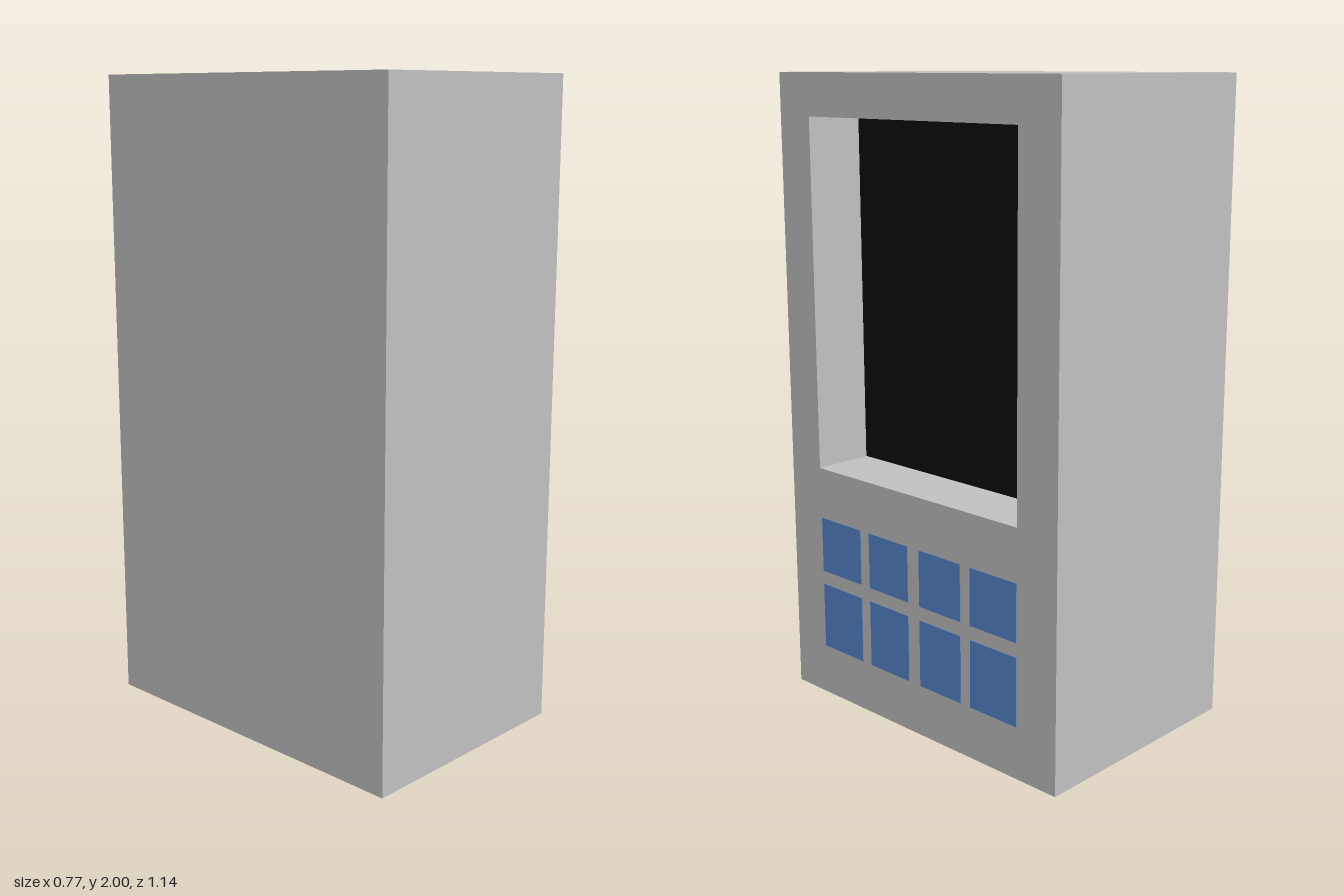
import * as THREE from 'three';

const HALF_X = 0.385, HALF_Z = 0.57, HEIGHT = 2, DEPTH = 0.2;

function material(name, color) {
  const m = new THREE.MeshStandardMaterial({ color });
  m.name = name;
  return m;
}

function addMesh(parent, name, geometry, mat) {
  const mesh = new THREE.Mesh(geometry, mat);
  mesh.name = name;
  parent.add(mesh);
  return mesh;
}

// Box given by its lower and upper corners
function boxBetween(a, b) {
  const g = new THREE.BoxGeometry(b[0] - a[0], b[1] - a[1], b[2] - a[2]);
  return g.translate((a[0] + b[0]) / 2, (a[1] + b[1]) / 2, (a[2] + b[2]) / 2);
}

function rectangle(path, x0, y0, x1, y1) {
  return path.moveTo(x0, y0).lineTo(x1, y0).lineTo(x1, y1).lineTo(x0, y1).closePath();
}

export function createModel() {
  const model = new THREE.Group();
  model.name = 'kiosk';
  const grey = material('casing grey', 0xc0c0c0);
  const black = material('screen black', 0x0d0d0d);
  const blue = material('button blue', 0x5585cc);
  const recessX = HALF_X - DEPTH;
  const opening = { z0: -0.42, z1: 0.435, y0: 0.77, y1: 1.87 };

  // Solid casing behind the screen
  addMesh(model, 'casing', boxBetween([-HALF_X, 0, -HALF_Z], [recessX, HEIGHT, HALF_Z]), grey);

  // Faceplate with the deep screen opening, turned to face the left side
  const plate = rectangle(new THREE.Shape(), -HALF_Z, 0, HALF_Z, HEIGHT);
  plate.holes.push(rectangle(new THREE.Path(), -opening.z1, opening.y0, -opening.z0, opening.y1));
  const plateGeometry = new THREE.ExtrudeGeometry(plate, { depth: DEPTH, bevelEnabled: false });
  plateGeometry.rotateY(Math.PI / 2).translate(recessX, 0, 0);
  addMesh(model, 'faceplate', plateGeometry, grey);

  // Screen on the floor of the recess
  addMesh(model, 'screen', boxBetween(
    [recessX, opening.y0, opening.z0], [recessX + 0.004, opening.y1, opening.z1]), black);

  // Two rows of four flat buttons
  const buttons = new THREE.Group();
  buttons.name = 'buttons';
  model.add(buttons);
  const rows = [[0.165, 0.38], [0.425, 0.605]];
  const columns = [[0.245, 0.43], [0.03, 0.205], [-0.195, -0.02], [-0.42, -0.235]];
  for (const [y0, y1] of rows) {
    for (const [z0, z1] of columns) {
      addMesh(buttons, 'button', boxBetween([HALF_X, y0, z0], [HALF_X + 0.002, y1, z1]), blue);
    }
  }
  return model;
}
